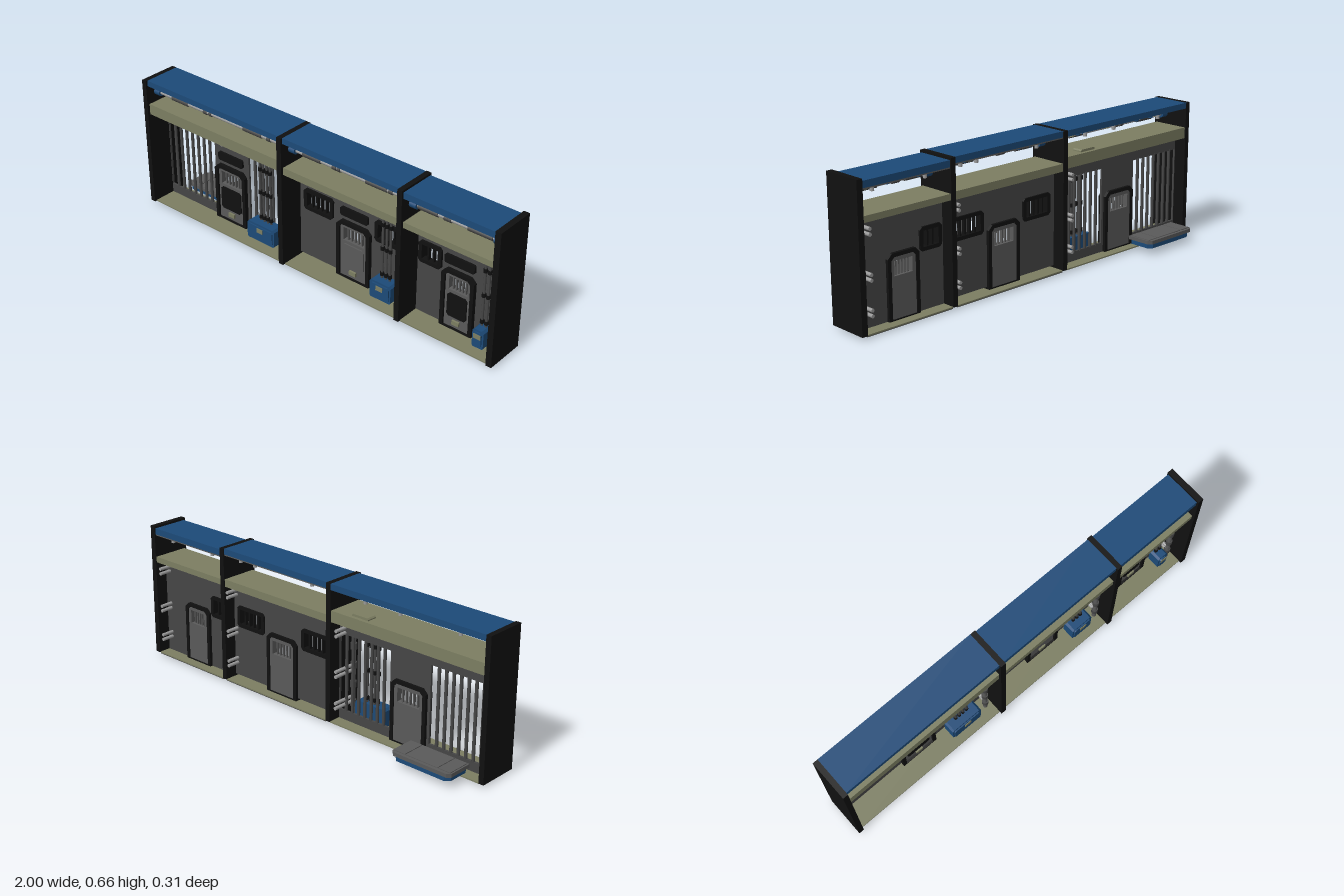
import * as THREE from 'three';

const mat = (color) => new THREE.MeshStandardMaterial({ color, roughness: 0.8 });
const M = {
  black: mat(0x101010), wall: mat(0x464646), grey: mat(0x5a5a5a), pipe: mat(0x9a9a9a),
  blue: mat(0x1c4a78), olive: mat(0x7c7e62),
};

function add(parent, name, geo, m, x = 0, y = 0, z = 0) {
  const mesh = new THREE.Mesh(geo, m);
  mesh.name = name;
  mesh.position.set(x, y, z);
  parent.add(mesh);
  return mesh;
}

// Box given by its limits on each axis
const box = (p, name, m, x0, x1, y0, y1, z0, z1) =>
  add(p, name, new THREE.BoxGeometry(x1 - x0, y1 - y0, z1 - z0), m, (x0 + x1) / 2, (y0 + y1) / 2, (z0 + z1) / 2);

// Cylinder along one axis, centred on the point
function rod(p, name, m, r, len, axis, x, y, z) {
  const mesh = add(p, name, new THREE.CylinderGeometry(r, r, len, 12), m, x, y, z);
  if (axis === 'x') mesh.rotation.z = Math.PI / 2;
  if (axis === 'z') mesh.rotation.x = Math.PI / 2;
  return mesh;
}

const poly = (pts) => pts.map(([x, y]) => new THREE.Vector2(x, y));
const rect = (x0, x1, y0, y1) => poly([[x0, y0], [x1, y0], [x1, y1], [x0, y1]]);
// Rectangle with cut corners: c at the top, b at the bottom
const cut = (x0, x1, y0, y1, c, b = 0) => poly([[x0 + b, y0], [x1 - b, y0], [x1, y0 + b], [x1, y1 - c],
  [x1 - c, y1], [x0 + c, y1], [x0, y1 - c], [x0, y0 + b]].filter((q, i, a) => {
  const n = a[(i + 1) % a.length];
  return q[0] !== n[0] || q[1] !== n[1];
}));

// Flat plate with holes, between two depths
function plate(p, name, m, outline, holes, z0, z1) {
  const s = new THREE.Shape(outline);
  s.holes = holes.map((h) => new THREE.Path(h));
  return add(p, name, new THREE.ExtrudeGeometry(s, { depth: z1 - z0, bevelEnabled: false }), m, 0, 0, z0);
}

// Door with a cut-corner frame, barred vent, lower panel and handle
function door(p, cx, w, panelMat) {
  const g = new THREE.Group();
  g.name = 'door';
  p.add(g);
  const h = w / 2, i = h - 0.018;
  const vent = rect(cx - i + 0.017, cx + i - 0.017, 0.205, 0.27);
  plate(g, 'doorFrame', M.black, cut(cx - h, cx + h, 0.013, 0.305, 0.022),
    [cut(cx - i, cx + i, 0.02, 0.288, 0.015)], 0.006, 0.05);
  plate(g, 'doorLeaf', M.grey, cut(cx - i, cx + i, 0.02, 0.288, 0.015), [vent], 0.01, 0.04);
  for (let k = 1; k < 6; k++) {
    const x = cx + (i - 0.017) * (k / 3 - 1);
    box(g, 'ventBar', M.grey, x - 0.003, x + 0.003, 0.205, 0.27, 0.02, 0.032);
  }
  plate(g, 'doorPanel', panelMat, cut(cx - i + 0.015, cx + i - 0.015, 0.075, 0.19, 0.01, 0.01), [], 0.04, 0.046);
  box(g, 'doorHandle', M.olive, cx - 0.018, cx + 0.018, 0.04, 0.06, 0.04, 0.05);
  plate(g, 'signSlot', M.black, cut(cx - 0.076, cx + 0.076, 0.328, 0.37, 0.006, 0.006), [], 0.03, 0.042);
}

// Window frame with bars
function windowFrame(p, x0, x1) {
  const a = x0 + 0.018, b = x1 - 0.018;
  plate(p, 'windowFrame', M.black, cut(x0, x1, 0.275, 0.38, 0.012, 0.012), [rect(a, b, 0.292, 0.363)], 0.012, 0.042);
  const n = Math.max(3, Math.round((b - a) / 0.026));
  for (let k = 1; k < n; k++) {
    const x = a + ((b - a) * k) / n;
    box(p, 'windowBar', M.black, x - 0.004, x + 0.004, 0.292, 0.363, 0.018, 0.034);
  }
}

// Horizontal pipe with couplers
function pipeRun(p, x0, x1, y, z, r, m, couplers) {
  rod(p, 'pipe', m, r, x1 - x0, 'x', (x0 + x1) / 2, y, z);
  for (const [x, len] of couplers) rod(p, 'coupler', M.wall, r * 1.45, len, 'x', x, y, z);
}

// Vertical riser with joints and brackets through the wall
function riser(p, x, y0) {
  rod(p, 'riser', M.grey, 0.01, 0.49 - y0, 'y', x, (0.49 + y0) / 2, 0.077);
  for (const y of [0.08, 0.17, 0.26, 0.35, 0.42]) rod(p, 'riserJoint', M.wall, 0.015, 0.03, 'y', x, y, 0.077);
  for (const y of [0.1, 0.25, 0.44])
    for (const d of [-0.012, 0.012]) rod(p, 'riserBracket', M.pipe, 0.008, 0.12, 'z', x, y + d, 0.018);
}

// Blue junction box with cables going up
function junctionBox(p, x0, x1, cables) {
  const g = new THREE.Group();
  g.name = 'junctionBox';
  p.add(g);
  const c = (x0 + x1) / 2;
  plate(g, 'boxBody', M.blue, cut(x0, x1, 0.03, 0.12, 0.01, 0.006), [], 0.04, 0.1);
  plate(g, 'boxLid', M.blue, cut(x0 + 0.008, x1 - 0.008, 0.04, 0.11, 0.008, 0.006), [], 0.1, 0.106);
  box(g, 'boxLabel', M.olive, c - 0.018, c + 0.018, 0.08, 0.102, 0.106, 0.109);
  for (let k = 0; k < cables; k++) {
    const x = c + (k - (cables - 1) / 2) * 0.021;
    rod(g, 'cable', M.wall, 0.006, 0.33, 'y', x, 0.28, 0.06);
    for (const y of [0.14, 0.27, 0.39]) rod(g, 'cableClip', M.black, 0.009, 0.018, 'y', x, y, 0.06);
  }
}

// The three bays and everything that differs between them
const BAYS = [
  { x: [-0.975, -0.163], roof: [0.632, 0.66], shelf: [0.485, 0.538], door: [-0.56, 0.19], panel: M.black,
    open: [[-0.972, -0.668], [-0.452, -0.166]], windows: [], box: [-0.405, -0.24, 4], riser: [-0.195, 0.02],
    nubs: [-0.86, -0.82, -0.72, -0.51, -0.355, -0.32, -0.28] },
  { x: [-0.137, 0.495], roof: [0.632, 0.66], shelf: [0.477, 0.513], door: [0.18, 0.185], panel: M.grey,
    open: [], windows: [[-0.107, 0.06], [0.295, 0.468]], box: [0.32, 0.435, 3], riser: [0.478, 0.02],
    nubs: [-0.04, -0.012, 0.055, 0.34, 0.37, 0.43] },
  { x: [0.52, 0.97], roof: [0.62, 0.65], shelf: [0.48, 0.508], door: [0.74, 0.165], panel: M.black,
    open: [], windows: [[0.53, 0.648]], box: [0.862, 0.918, 2], riser: [0.942, 0],
    nubs: [0.59, 0.62, 0.78, 0.89] },
];

function bay(p, b, index) {
  const g = new THREE.Group();
  g.name = 'bay';
  p.add(g);
  const [x0, x1] = b.x, [s0, s1] = b.shelf, [r0, r1] = b.roof, [dc, dw] = b.door, c = (x0 + x1) / 2, w = x1 - x0;
  const low = index === 1 ? 0.026 : 0.012;

  // Floor, shelf and roof
  box(g, 'floor', M.olive, x0, x1, 0.009, 0.015, -0.038, 0.14);
  if (index) box(g, 'floorUnderside', M.wall, x0, x1, 0.006, 0.009, -0.038, 0.085);
  box(g, 'shelf', M.olive, x0, x1, s0, s1, -0.037, 0.14);
  box(g, 'roof', M.blue, x0, x1, r0, r1, index ? -0.036 : -0.041, 0.143);
  if (index) box(g, 'roofUnderside', M.grey, x0, x1, r0 - 0.006, r0, -0.034, 0.135);

  // Wall with openings
  const holes = b.open.map(([a, e]) => rect(a, e, 0.06, 0.42));
  for (const [a, e] of b.windows) holes.push(rect(a + 0.01, e - 0.01, 0.285, 0.37));
  holes.push(rect(dc - dw / 2 + 0.01, dc + dw / 2 - 0.01, 0.03, 0.285));
  plate(g, 'wall', M.wall, rect(x0, x1, low, s0), holes, 0.02, 0.03);
  for (const [a, e] of b.open) {
    const n = Math.round((e - a) / 0.038);
    for (let k = 1; k < n; k++) rod(g, 'wallBar', M.wall, 0.0075, 0.37, 'y', a + ((e - a) * k) / n, 0.24, 0.025);
  }
  for (const [a, e] of b.windows) windowFrame(g, a, e);
  door(g, dc, dw, b.panel);

  // Pipes under the roof and under the shelf
  pipeRun(g, x0, x1, r0 - 0.042, 0.09, 0.009, M.pipe,
    [[x0 + w * 0.2, 0.1], [x0 + w * 0.4, 0.02], [x0 + w * 0.44, 0.015], [x0 + w * 0.76, 0.11], [x0 + w * 0.88, 0.02]]);
  for (const x of [x0 + 0.018, x1 - 0.018]) rod(g, 'pipeCap', M.blue, 0.018, 0.034, 'x', x, r0 - 0.042, 0.09);
  pipeRun(g, x0, x1, 0.43, 0.045, 0.009, M.grey,
    [[x0 + w * 0.3, 0.18], [x0 + w * 0.55, 0.03], [x0 + w * 0.78, 0.12]]);
  rod(g, 'shelfBulb', M.pipe, 0.008, 0.03, 'y', c, 0.455, 0.08);

  // Fittings hanging from the roof
  b.nubs.forEach((x, k) => {
    rod(g, 'hangingStem', M.pipe, 0.004, 0.03, 'y', x, r0 - 0.012, 0.03);
    rod(g, 'hangingFitting', k % 3 === 0 ? M.olive : M.blue, 0.011, 0.026, 'y', x, r0 - 0.022, 0.05);
    if (k % 2) rod(g, 'hangingFitting', M.pipe, 0.009, 0.03, 'y', x, r0 - 0.018, 0.005);
  });

  junctionBox(g, ...b.box);
  riser(g, ...b.riser);
}

// Rear tray: lid panels over a hollow body open underneath
function rearTray(p) {
  const g = new THREE.Group();
  g.name = 'rearTray';
  p.add(g);
  const flat = (name, m, outline, holes, y0, y1) => {
    const mesh = plate(g, name, m, outline, holes, 0, y1 - y0);
    mesh.rotation.x = -Math.PI / 2;
    mesh.position.y = y0;
  };
  flat('trayBody', M.blue, cut(-0.902, -0.613, 0.03, 0.146, 0.02), [cut(-0.888, -0.627, 0.042, 0.133, 0.016)], 0.03, 0.052);
  flat('trayDeck', M.blue, cut(-0.9, -0.615, 0.031, 0.145, 0.02), [], 0.048, 0.053);
  flat('trayLid', M.grey, cut(-0.912, -0.605, 0.02, 0.153, 0.016), [], 0.053, 0.07);
  for (const [a, b] of [[-0.905, -0.845], [-0.84, -0.675], [-0.67, -0.612]])
    box(g, 'trayLidPanel', M.grey, a, b, 0.07, 0.073, -0.138, -0.025);
}

export function createModel() {
  const model = new THREE.Group();
  model.name = 'corridorFacade';

  // Upright dividers
  for (const [a, b] of [[-1, -0.975], [-0.163, -0.137], [0.495, 0.52], [0.97, 0.998]])
    box(model, 'divider', M.black, a, b, 0.012, 0.66, -0.041, 0.153);

  BAYS.forEach((b, i) => bay(model, b, i));
  rearTray(model);

  // Small raised plate on the first shelf
  plate(model, 'shelfPlate', M.olive, cut(-0.358, -0.268, 0.537, 0.549, 0.006), [], -0.02, 0.03);
  return model;
}
